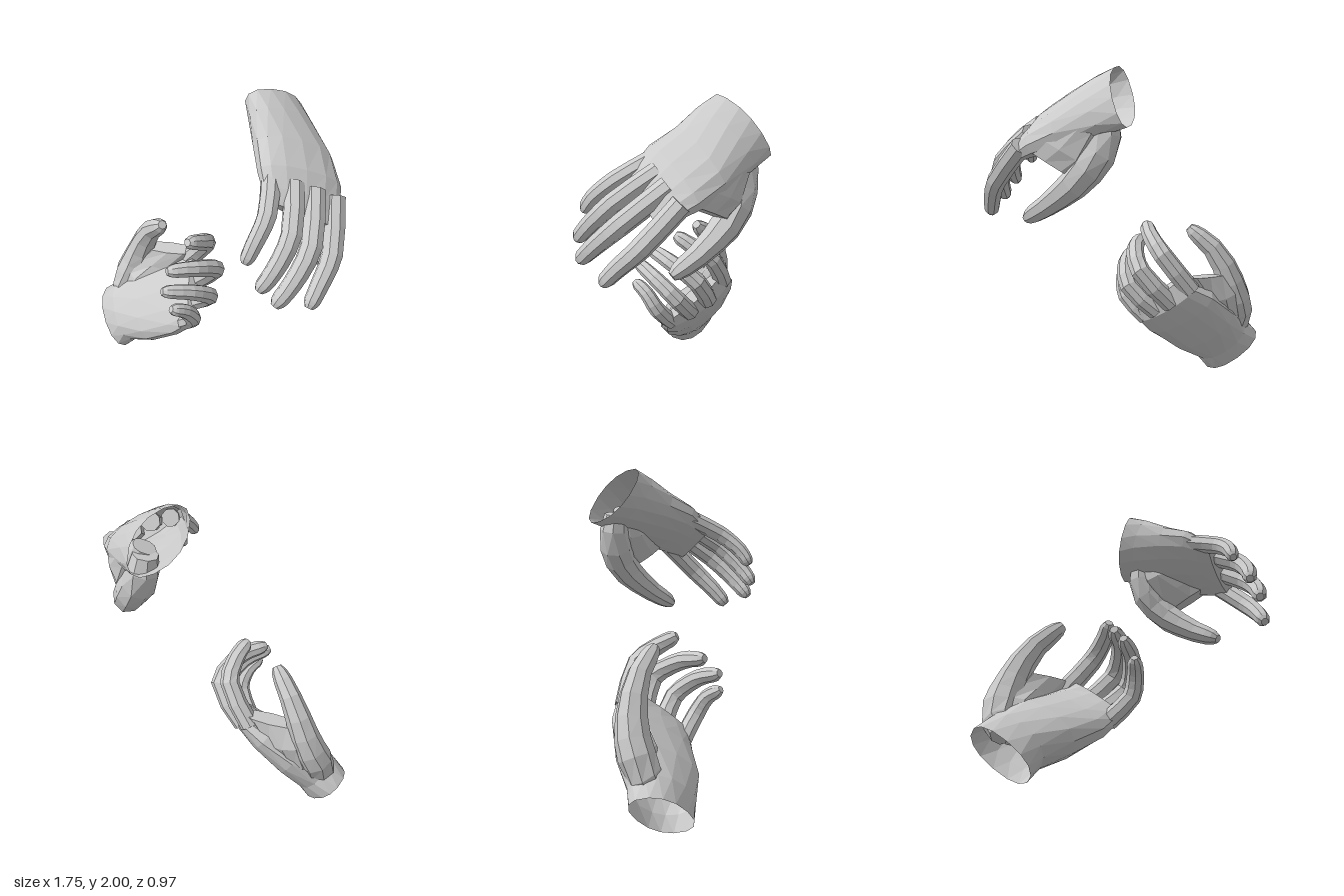
import * as THREE from 'three';

const V = (a) => new THREE.Vector3(...a);
const material = new THREE.MeshStandardMaterial({ color: 0xcccccc, flatShading: true, side: THREE.DoubleSide });

// Skin a row of rings (each: centre c, half axes u and v) and optionally close the ends.
function loft(name, rings, sides, square, capStart, capEnd) {
  const pos = [], index = [];
  const bend = (t) => Math.sign(t) * Math.pow(Math.abs(t), square);
  for (const { c, u, v } of rings) {
    for (let i = 0; i < sides; i++) {
      const a = (i / sides) * Math.PI * 2;
      const p = c.clone().addScaledVector(u, bend(Math.cos(a))).addScaledVector(v, bend(Math.sin(a)));
      pos.push(p.x, p.y, p.z);
    }
  }
  for (let r = 0; r < rings.length - 1; r++) {
    for (let i = 0; i < sides; i++) {
      const a = r * sides + i, b = r * sides + (i + 1) % sides;
      index.push(a, b, b + sides, a, b + sides, a + sides);
    }
  }
  const cap = (r, flip) => {
    const k = pos.length / 3, c = rings[r].c;
    pos.push(c.x, c.y, c.z);
    for (let i = 0; i < sides; i++) {
      const a = r * sides + i, b = r * sides + (i + 1) % sides;
      index.push(k, flip ? b : a, flip ? a : b);
    }
  };
  if (capStart) cap(0, true);
  if (capEnd) cap(rings.length - 1, false);
  const geo = new THREE.BufferGeometry();
  geo.setAttribute('position', new THREE.Float32BufferAttribute(pos, 3));
  geo.setIndex(index);
  geo.computeVertexNormals();
  const mesh = new THREE.Mesh(geo, material);
  mesh.name = name;
  return mesh;
}

// A tapering digit along joints; the last two rings round off the tip.
function digit(name, joints, radii, side) {
  const curve = new THREE.CatmullRomCurve3(joints.map(V), false, 'centripetal');
  const n = joints.length - 1;
  const steps = [0, 0.17, 0.33, 0.45, 0.57, 0.67, 0.8, 0.92, 0.98, 1];
  const rings = steps.map((t) => {
    const k = Math.min(Math.floor(t * n), n - 1);
    let r = THREE.MathUtils.lerp(radii[k], radii[k + 1], t * n - k);
    if (t > 0.95) r *= t < 1 ? 0.88 : 0.55;
    const dir = curve.getTangent(t);
    const u = dir.clone().cross(side).normalize();
    const v = dir.clone().cross(u);
    return { c: curve.getPoint(t), u: u.multiplyScalar(r), v: v.multiplyScalar(r) };
  });
  // push the tip out a little to make a rounded end
  rings[9].c.addScaledVector(curve.getTangent(1), radii[n] * 0.35);
  return loft(name, rings, 8, 0.9, true, true);
}

// Flesh between thumb and palm: each row is a thumb point, a palm point and a half thickness.
function thumbBase(rows) {
  const mids = rows.map(([a, b]) => V(a).add(V(b)).multiplyScalar(0.5));
  const last = rows.length - 1;
  const rings = rows.map(([a, b, t], i) => {
    const along = mids[Math.min(i + 1, last)].clone().sub(mids[Math.max(i - 1, 0)]);
    const across = V(b).sub(V(a)).multiplyScalar(0.55);
    const thick = across.clone().cross(along).setLength(t);
    return { c: mids[i], u: thick, v: across };
  });
  return loft('thumbBase', rings, 10, 0.85, true, true);
}

function hand(name, { palm, fingers, thumb, base }) {
  const g = new THREE.Group();
  g.name = name;
  // wrist and palm: centre, half width, half thickness
  const rings = palm.map(([c, across, thick]) => ({ c: V(c), u: V(thick), v: V(across) }));
  g.add(loft('palm', rings, 14, 0.88, false, true));
  const side = V(palm[3][1]).normalize();
  const names = ['indexFinger', 'middleFinger', 'ringFinger', 'littleFinger'];
  fingers.forEach((joints, i) => {
    const s = [1, 1.02, 0.98, 0.9][i];
    g.add(digit(names[i], joints, [0.06, 0.058, 0.051, 0.043].map((r) => r * s), side));
  });
  g.add(digit('thumb', thumb, [0.075, 0.105, 0.096, 0.068, 0.05], side));
  g.add(thumbBase(base));
  return g;
}

export function createModel() {
  const model = new THREE.Group();
  model.name = 'hands';

  // lower hand, palm up and fingers curled forward
  model.add(hand('lowerHand', {
    palm: [
      [[-0.715, 0.145, 0.335], [0.155, -0.138, 0.05], [0.028, 0.033, 0.135]],
      [[-0.64, 0.23, 0.305], [0.145, -0.13, 0.08], [0.015, 0.065, 0.13]],
      [[-0.5, 0.34, 0.225], [0.17, -0.145, 0.15], [0, 0.09, 0.11]],
      [[-0.34, 0.46, 0.13], [0.175, -0.15, 0.165], [-0.01, 0.065, 0.08]],
      [[-0.245, 0.53, 0.095], [0.15, -0.14, 0.165], [-0.025, 0.048, 0.055]],
      [[-0.19, 0.59, 0.095], [0.12, -0.135, 0.135], [-0.02, 0.022, 0.03]],
    ],
    fingers: [
      [[-0.38, 0.64, -0.03], [-0.2, 0.87, -0.03], [-0.14, 0.97, 0.09], [-0.13, 1.02, 0.18]],
      [[-0.27, 0.54, 0.03], [-0.07, 0.76, 0.02], [-0.06, 0.87, 0.2], [-0.12, 0.9, 0.35]],
      [[-0.19, 0.47, 0.12], [-0.01, 0.64, 0.13], [-0.01, 0.76, 0.28], [-0.08, 0.81, 0.43]],
      [[-0.14, 0.4, 0.23], [-0.01, 0.54, 0.27], [0, 0.65, 0.34], [-0.02, 0.7, 0.42]],
    ],
    thumb: [[-0.7, 0.28, 0.28], [-0.73, 0.4, 0.22], [-0.69, 0.58, 0.15], [-0.57, 0.84, 0.13], [-0.41, 0.99, 0.16]],
    base: [
      [[-0.72, 0.3, 0.27], [-0.62, 0.26, 0.27], 0.07],
      [[-0.71, 0.47, 0.18], [-0.55, 0.42, 0.15], 0.11],
      [[-0.68, 0.6, 0.14], [-0.46, 0.56, 0.04], 0.09],
      [[-0.61, 0.7, 0.12], [-0.35, 0.72, -0.03], 0.055],
    ],
  }));

  // upper hand, reaching down with the palm below
  model.add(hand('upperHand', {
    palm: [
      [[0.075, 1.84, -0.31], [0.065, -0.045, -0.165], [-0.04, -0.155, -0.075]],
      [[0.18, 1.795, -0.26], [0.08, -0.07, -0.18], [-0.06, -0.135, -0.05]],
      [[0.35, 1.71, -0.18], [0.11, -0.1, -0.195], [-0.055, -0.11, 0]],
      [[0.485, 1.645, -0.09], [0.12, -0.1, -0.2], [-0.045, -0.085, 0]],
      [[0.555, 1.59, -0.03], [0.115, -0.09, -0.18], [-0.042, -0.055, -0.01]],
      [[0.615, 1.535, 0.03], [0.1, -0.09, -0.13], [-0.025, -0.03, -0.008]],
    ],
    fingers: [
      [[0.64, 1.56, -0.2], [0.79, 1.34, -0.03], [0.82, 1.22, 0.09], [0.83, 1.13, 0.17]],
      [[0.58, 1.62, -0.1], [0.75, 1.44, 0.1], [0.77, 1.3, 0.25], [0.75, 1.2, 0.35]],
      [[0.51, 1.67, -0.01], [0.68, 1.52, 0.18], [0.7, 1.38, 0.32], [0.68, 1.29, 0.4]],
      [[0.42, 1.7, 0.07], [0.55, 1.6, 0.23], [0.58, 1.5, 0.35], [0.58, 1.42, 0.41]],
    ],
    thumb: [[0.17, 1.73, -0.33], [0.19, 1.58, -0.35], [0.31, 1.4, -0.35], [0.48, 1.24, -0.25], [0.61, 1.14, -0.14]],
    base: [
      [[0.17, 1.74, -0.34], [0.24, 1.76, -0.27], 0.07],
      [[0.2, 1.6, -0.35], [0.38, 1.66, -0.26], 0.125],
      [[0.28, 1.46, -0.35], [0.53, 1.61, -0.24], 0.1],
      [[0.37, 1.4, -0.33], [0.61, 1.55, -0.21], 0.065],
    ],
  }));
  return model;
}
